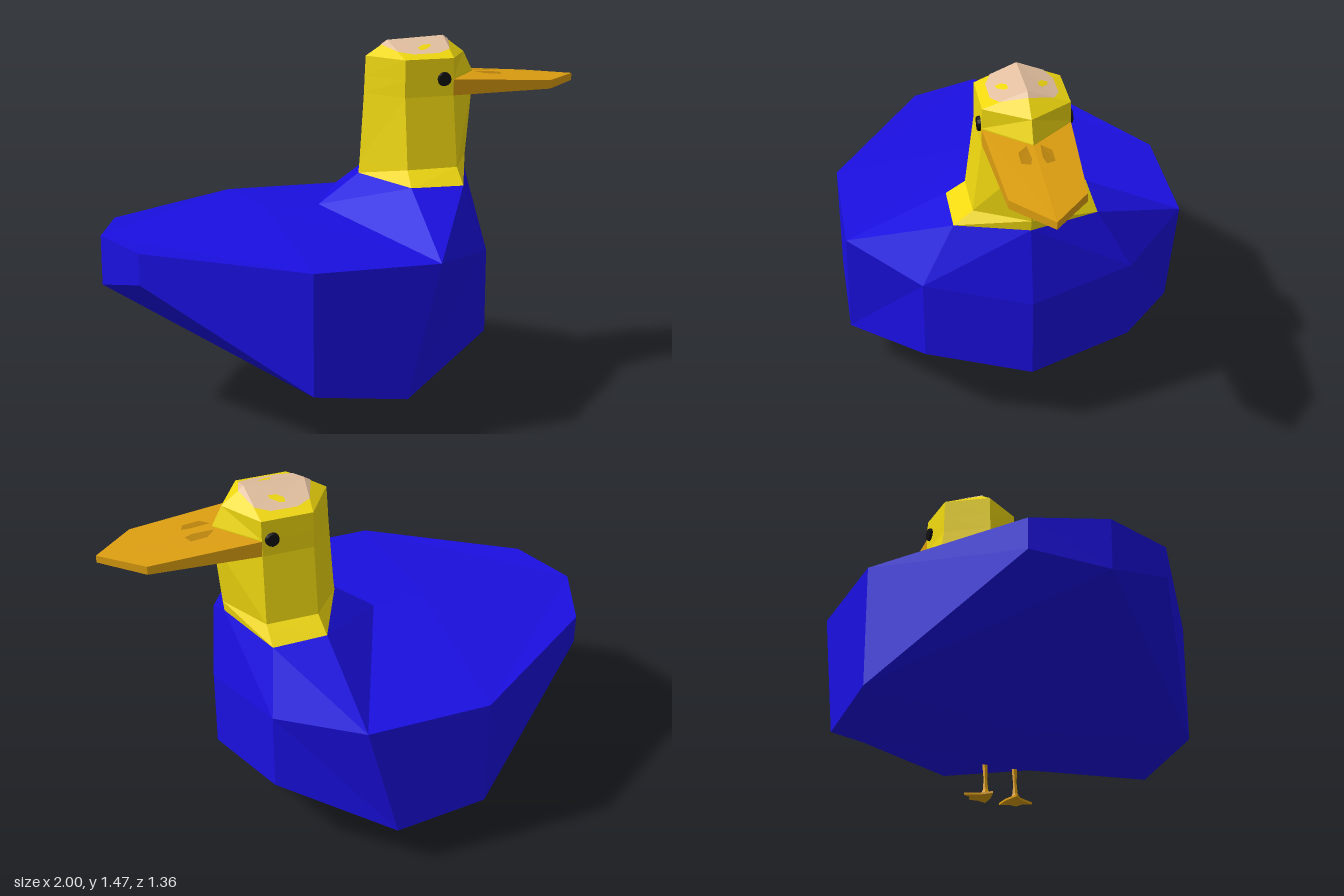
import * as THREE from 'three';

const mat = (color) => new THREE.MeshStandardMaterial({ color, flatShading: true, side: THREE.DoubleSide });
const BLUE = mat(0x1a0fe0), YELLOW = mat(0xf0d80f), ORANGE = mat(0xdb9d10);
const BEIGE = mat(0xe3c0a0), BLACK = mat(0x111111), DARK = mat(0xb8820c);

// Flat-faced mesh from polygons given for the +z half, mirrored across z = 0
function mirrored(name, polygons, material) {
  const out = [];
  for (const poly of polygons) {
    for (let i = 1; i < poly.length - 1; i++) {
      const [a, b, c] = [poly[0], poly[i], poly[i + 1]];
      out.push(...a, ...b, ...c);
      for (const p of [a, c, b]) out.push(p[0], p[1], -p[2]);
    }
  }
  const geo = new THREE.BufferGeometry();
  geo.setAttribute('position', new THREE.Float32BufferAttribute(out, 3));
  geo.computeVertexNormals();
  const mesh = new THREE.Mesh(geo, material);
  mesh.name = name;
  return mesh;
}

// Quads joining a lower row of points to an upper one
const strip = (low, high) => low.slice(1).map((p, i) => [low[i], p, high[i + 1], high[i]]);
const lerp = (a, b, t) => a.map((v, i) => v + (b[i] - v) * t);
const raise = (p, h) => [p[0], p[1] + h, p[2]];

export function createModel() {
  const duck = new THREE.Group();
  duck.name = 'duck';

  // Body: upper and lower outline from tail to chest, back ridge and keel
  const T = [[-1, 0.74, 0], [-0.9, 0.735, 0.28], [-0.33, 0.72, 0.68], [0.17, 0.715, 0.68], [0.46, 0.67, 0.41], [0.58, 0.62, 0]];
  const B = [[-1, 0.54, 0], [-0.9, 0.61, 0.28], [-0.33, 0.24, 0.68], [0.04, 0.19, 0.68], [0.46, 0.335, 0.41], [0.58, 0.285, 0]];
  const back1 = [-0.33, 0.8, 0], back2 = [-0.11, 0.8, 0];
  const keel1 = [-0.33, 0.17, 0], keel2 = [-0.03, 0.12, 0];

  // Neck and head rows: back, side back, side front, front
  const rows = [
    [[0.06, 0.92, 0], [0.19, 0.91, 0.28], [0.41, 0.905, 0.28], [0.52, 0.925, 0]],
    [[0.065, 0.97, 0], [0.2, 0.965, 0.205], [0.41, 0.965, 0.205], [0.525, 0.97, 0]],
    [[0.083, 1.25, 0], [0.2, 1.25, 0.168], [0.405, 1.25, 0.168], [0.55, 1.25, 0]],
    [[0.086, 1.32, 0], [0.2, 1.32, 0.167], [0.405, 1.32, 0.167], [0.55, 1.32, 0]],
    [[0.09, 1.4, 0], [0.2, 1.4, 0.165], [0.405, 1.4, 0.165], [0.51, 1.4, 0]],
  ];
  const N = rows[0];
  duck.add(mirrored('body', [
    ...strip(B, T),
    [T[0], T[1], T[2], back1], [back1, T[2], T[3], back2], [back2, T[3], N[1], N[0]],
    [T[3], T[4], N[2], N[1]], [T[4], T[5], N[3], N[2]],
    [B[0], keel1, B[2], B[1]], [keel1, keel2, B[3], B[2]], [keel2, B[5], B[4], B[3]],
  ], BLUE));

  // Head with hipped crown
  const C = rows[4], r1 = [0.18, 1.457, 0], r2 = [0.42, 1.467, 0];
  duck.add(mirrored('neckAndHead', [
    ...rows.slice(1).flatMap((row, i) => strip(rows[i], row)),
    [C[0], C[1], r1], [C[1], C[2], r2, r1], [C[2], C[3], r2],
  ], YELLOW));

  // Pale patch lying on the crown
  const h = 0.003, up1 = raise(r1, h), up2 = raise(r2, h);
  const b = raise(lerp(r1, C[0], 0.3), h), s1 = raise(lerp(r1, C[1], 0.62), h);
  const s2 = raise(lerp(r2, C[2], 0.62), h), f = raise(lerp(r2, C[3], 0.25), h);
  const m1 = raise(lerp(lerp(r1, r2, 0.25), lerp(C[1], C[2], 0.25), 0.78), h);
  const m2 = raise(lerp(lerp(r1, r2, 0.75), lerp(C[1], C[2], 0.75), 0.78), h);
  duck.add(mirrored('crownPatch', [[b, s1, up1], [up1, s1, m1, m2, s2, up2], [s2, f, up2]], BEIGE));

  // Beak
  const top = [[0.405, 1.315, 0.167], [0.84, 1.285, 0.14], [1, 1.285, 0]];
  const low = [[0.405, 1.25, 0.167], [0.84, 1.25, 0.14], [1, 1.255, 0]];
  duck.add(mirrored('beak', [
    ...strip(low, top), [...top, [0.5, 1.32, 0]], [[0.5, 1.25, 0], low[2], low[1], low[0]],
  ], ORANGE));
  duck.add(mirrored('nostrils', [
    [[0.55, 1.318, 0.025], [0.585, 1.314, 0.062], [0.65, 1.308, 0.062], [0.665, 1.31, 0.028], [0.63, 1.314, 0.02]],
  ], DARK));

  // Webbed foot outline in x and z, heel first
  const footShape = new THREE.Shape([
    [-0.065, 0.05], [-0.03, 0.085], [0, 0.145], [0.02, 0.11], [0.05, 0.1], [0.045, 0.07], [0.06, 0.03], [0, 0.032],
  ].map(([x, z]) => new THREE.Vector2(x, z)));
  const footGeo = new THREE.ExtrudeGeometry(footShape, { depth: 0.008, bevelEnabled: false });
  footGeo.rotateX(Math.PI / 2).translate(0, 0.008, 0);

  // Slightly bent leg, wider at hip and ankle
  const legGeo = new THREE.LatheGeometry(
    [[0.02, 0.004], [0.011, 0.025], [0.008, 0.07], [0.013, 0.16]].map(([r, y]) => new THREE.Vector2(r, y)), 6);
  const lp = legGeo.attributes.position;
  for (let i = 0; i < lp.count; i++) lp.setX(i, lp.getX(i) - 0.024 + 0.07 * lp.getY(i));

  for (const s of [1, -1]) {
    const side = s > 0 ? 'Left' : 'Right';
    const eye = new THREE.Mesh(new THREE.CylinderGeometry(0.026, 0.031, 0.02, 12), BLACK);
    eye.name = 'eye' + side;
    eye.rotation.x = s * Math.PI / 2;
    eye.position.set(0.365, 1.318, s * 0.169);

    const leg = new THREE.Mesh(legGeo, ORANGE);
    leg.name = 'leg' + side;
    leg.position.z = s * 0.063;

    const foot = new THREE.Mesh(footGeo, ORANGE);
    foot.name = 'foot' + side;
    foot.scale.z = s;
    duck.add(eye, leg, foot);
  }
  return duck;
}
